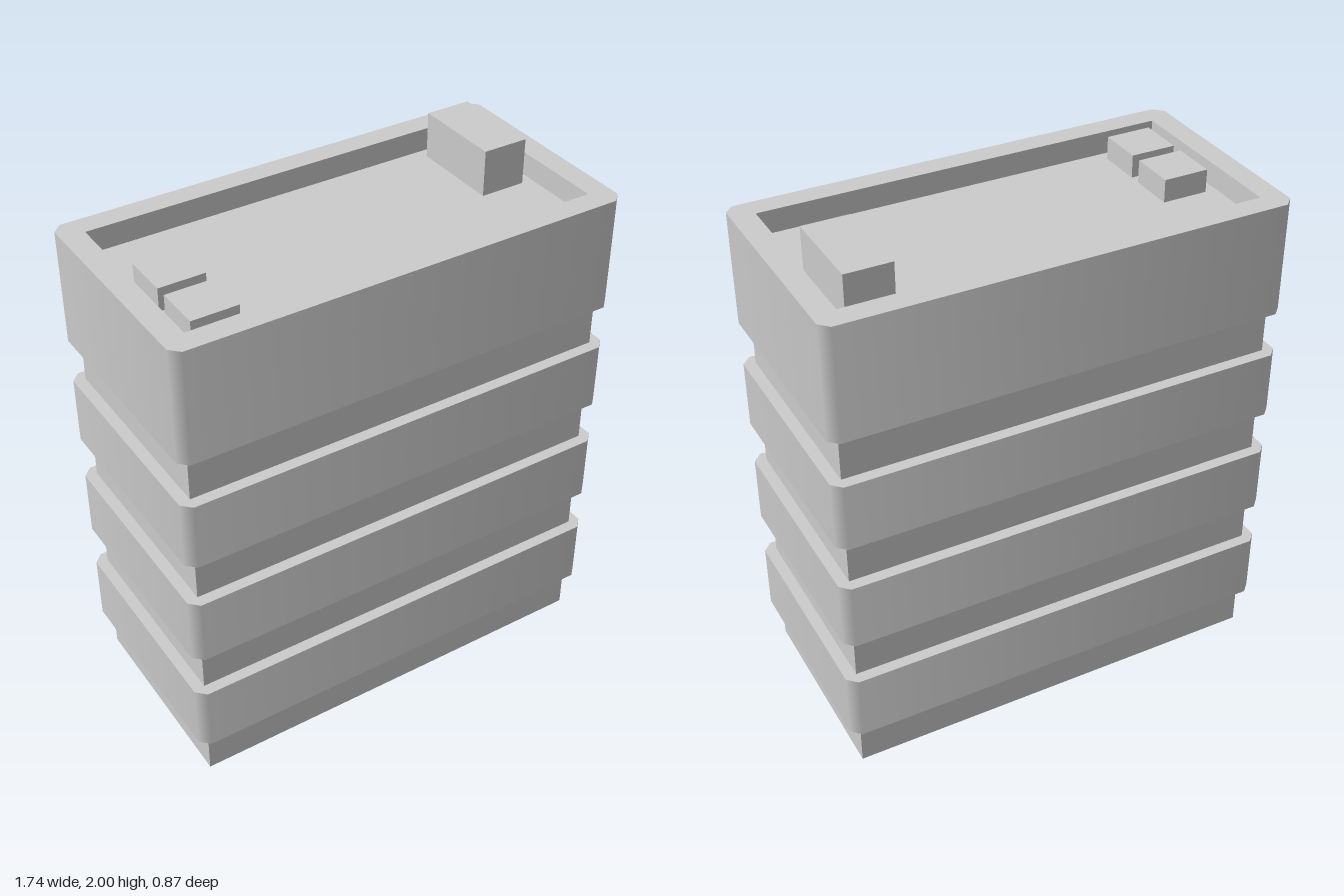
import * as THREE from 'three';

const U = 1 / 23; // modular unit: the tower is 46 units tall
const material = new THREE.MeshStandardMaterial({ color: 0xcccccc });
const HALF_W = 20, HALF_D = 10, CHAMFER = 0.8;

// Box given by its min and max corners, in units
function addBox(group, name, [x0, y0, z0], [x1, y1, z1]) {
  const geometry = new THREE.BoxGeometry((x1 - x0) * U, (y1 - y0) * U, (z1 - z0) * U);
  const mesh = new THREE.Mesh(geometry, material);
  mesh.position.set((x0 + x1) / 2 * U, (y0 + y1) / 2 * U, (z0 + z1) / 2 * U);
  mesh.name = name;
  group.add(mesh);
}

const outline = (points) => points.map(([x, y]) => new THREE.Vector2(x * U, y * U));

// Storey band with chamfered corners, shaded smoothly around its outer walls
function addBand(group, name, y0, y1, hole) {
  const w = HALF_W, d = HALF_D, c = CHAMFER;
  const shape = new THREE.Shape(outline([
    [w - c, -d], [w, c - d], [w, d - c], [w - c, d],
    [c - w, d], [-w, d - c], [-w, c - d], [c - w, -d],
  ]));
  if (hole) {
    const [hw, hd] = hole;
    shape.holes.push(new THREE.Path(outline([[-hw, -hd], [-hw, hd], [hw, hd], [hw, -hd]])));
  }
  const geometry = new THREE.ExtrudeGeometry(shape, { depth: (y1 - y0) * U, bevelEnabled: false });
  geometry.rotateX(-Math.PI / 2);

  // Average wall and chamfer normals at each outer corner
  const p = geometry.attributes.position, n = geometry.attributes.normal;
  const major = Math.cos(Math.PI / 8), minor = Math.sin(Math.PI / 8);
  for (let i = 0; i < p.count; i++) {
    if (Math.abs(n.getY(i)) > 0.5) continue;
    const x = p.getX(i), z = p.getZ(i);
    const onEnd = Math.abs(x) > (w - 0.01) * U;
    const onSide = Math.abs(z) > (d - 0.01) * U;
    if (onEnd) n.setXYZ(i, Math.sign(x) * major, 0, Math.sign(z) * minor);
    else if (onSide) n.setXYZ(i, Math.sign(x) * minor, 0, Math.sign(z) * major);
  }

  const mesh = new THREE.Mesh(geometry, material);
  mesh.position.y = y0 * U;
  mesh.name = name;
  group.add(mesh);
}

export function createModel() {
  const group = new THREE.Group();
  group.name = 'officeBuilding';

  // Recessed core; its top is the roof floor
  addBox(group, 'core', [-19, 0, -9], [19, 42, 9]);

  // Projecting storey bands
  [4, 14, 24].forEach((y, i) => addBand(group, `storeyBand${i + 1}`, y, y + 6));

  // Tall top storey with the roof parapet
  addBand(group, 'topStoreyParapet', 34, 44, [18, 8]);

  // Rooftop units
  addBox(group, 'roofStairHouse', [13, 42, -7], [17, 46, 1]);
  addBox(group, 'roofVentBack', [-17, 42, -2], [-13, 44, 2]);
  addBox(group, 'roofVentFront', [-17, 42, 3], [-13, 44, 7]);

  return group;
}
